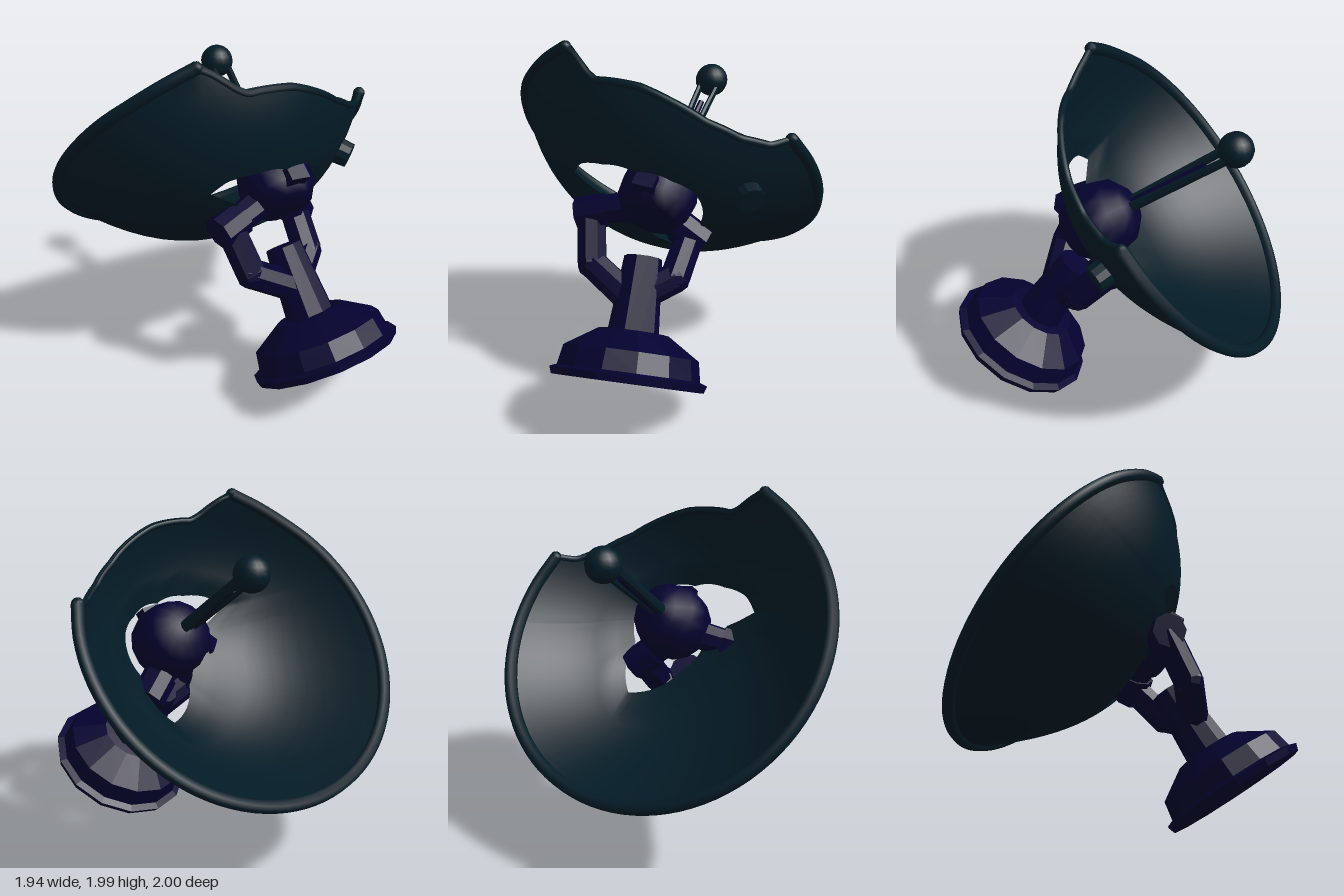
import * as THREE from 'three';

const V = (x, y, z) => new THREE.Vector3(x, y, z);
const UP = V(0, 1, 0);

// Dish frame: centre of the rim, facing direction and two in-plane axes
const C = V(0, 1.25, -0.35);
const N = V(0.12, 0.64, -0.76).normalize();
const U = V(1, 0, 0).addScaledVector(N, -N.x).normalize();
const W = new THREE.Vector3().crossVectors(U, N);
// Bowl depth, sagging slightly toward the upper side
const depth = (u, v) => {
  const k = Math.min(Math.hypot(u, v) / 0.96, 1);
  return 0.535 * (1 - Math.pow(k, 2.4)) + 0.06 * v * (1 - Math.pow(k, 6));
};
const onDish = (u, v, lift = 0) => C.clone().addScaledVector(U, u).addScaledVector(W, v)
  .addScaledVector(N, lift - depth(u, v));

// Outlines as [degrees, radius]: outer edge with its missing piece, and the torn hole
const OUTER = [[28, 0.95], [33, 0.885], [43, 0.845], [57, 0.83], [72, 0.845], [84, 0.86], [103, 0.86],
  [117, 0.985], [130, 0.95]];
const HOLE = [[26, 0.255], [59, 0.233], [108, 0.262], [138, 0.375], [155, 0.474], [168, 0.51], [173, 0.332],
  [195, 0.187], [253, 0.28], [291, 0.5], [329, 0.27]];
const HOLE_U = 0.18, HOLE_V = 0.25;
const radiusAt = (table, deg) => {
  const first = table[0], last = table[table.length - 1];
  const d = deg < first[0] ? deg + 360 : deg;
  const ring = [...table, [first[0] + 360, first[1]]];
  const k = d >= last[0] ? table.length - 1 : ring.findIndex((p) => p[0] > d) - 1;
  return THREE.MathUtils.mapLinear(d, ring[k][0], ring[k + 1][0], ring[k][1], ring[k + 1][1]);
};

// One wall of the bowl, from the torn hole out to the edge
function bowlWall(thickness) {
  const segs = 120, rings = 12, pos = [], idx = [];
  for (let j = 0; j <= rings; j++) {
    for (let i = 0; i <= segs; i++) {
      const deg = (i % segs) * 360 / segs, a = deg * Math.PI / 180, t = j / rings;
      const h = radiusAt(HOLE, deg), R = radiusAt(OUTER, deg);
      const hu = HOLE_U + h * Math.cos(a), hv = HOLE_V + h * Math.sin(a);
      const p = onDish(hu + (R * Math.cos(a) - hu) * t, hv + (R * Math.sin(a) - hv) * t,
        thickness * Math.min(1, t * 4));
      pos.push(p.x, p.y, p.z);
      if (j < rings && i < segs) {
        const k = j * (segs + 1) + i, m = k + segs + 1;
        idx.push(k, m, k + 1, k + 1, m, m + 1);
      }
    }
  }
  const geo = new THREE.BufferGeometry();
  geo.setAttribute('position', new THREE.Float32BufferAttribute(pos, 3));
  geo.setIndex(idx);
  geo.computeVertexNormals();
  return geo;
}

export function createModel() {
  const group = new THREE.Group();
  const dishPaint = new THREE.MeshStandardMaterial({ color: 0x031b26, side: THREE.DoubleSide });
  dishPaint.name = 'dark teal';
  const mountPaint = new THREE.MeshStandardMaterial({ color: 0x040230 });
  mountPaint.name = 'dark indigo';

  const add = (name, geo, mat) => {
    const mesh = new THREE.Mesh(geo, mat);
    mesh.name = name;
    group.add(mesh);
    return mesh;
  };
  const orient = (mesh, pos, dir) => {
    mesh.position.copy(pos);
    mesh.quaternion.setFromUnitVectors(UP, dir.clone().normalize());
    return mesh;
  };
  const flat = (geo) => {
    const g = geo.toNonIndexed();
    g.computeVertexNormals();
    return g;
  };
  const lathe = (pts, sides) => new THREE.LatheGeometry(pts.map((p) => new THREE.Vector2(...p)), sides);
  const rod = (name, a, b, ra, rb, mat, sides = 8) => {
    const d = b.clone().sub(a);
    return orient(add(name, flat(new THREE.CylinderGeometry(rb, ra, d.length(), sides)), mat),
      a.clone().add(b).multiplyScalar(0.5), d);
  };

  add('dishOuterWall', bowlWall(0), dishPaint);
  add('dishInnerWall', bowlWall(0.03), dishPaint);

  // Rolled rim, with a thinner edge along the broken piece
  const edge = (name, from, to, radius) => {
    const pts = [];
    for (let i = 0; i <= 24; i++) {
      const deg = (from + i * (to - from) / 24) % 360, a = deg * Math.PI / 180;
      const R = radiusAt(OUTER, deg) - 0.006;
      pts.push(onDish(R * Math.cos(a), R * Math.sin(a), 0.012));
    }
    const curve = new THREE.CatmullRomCurve3(pts);
    add(name, new THREE.TubeGeometry(curve, 72, radius, 8), dishPaint);
    [0, 1].forEach((t) => {
      add(name + 'End', new THREE.SphereGeometry(radius, 8, 6), dishPaint).position.copy(curve.getPoint(t));
    });
  };
  edge('dishRim', 116, 388, 0.036);
  edge('brokenEdge', 29, 116, 0.02);

  // Knob on the outside of the bowl
  const knobAt = onDish(0.66, 0.26);
  const knobDir = V(0.52, -0.3, 0.78).normalize();
  rod('dishKnob', knobAt.clone().addScaledVector(knobDir, -0.01),
    knobAt.clone().addScaledVector(knobDir, 0.07), 0.08, 0.075, dishPaint, 12);

  // Hub on the pointing axis, with a lug on its upper back
  const hubAt = V(0.115, 1.175, 0.11);
  const feedAt = V(0.2, 1.675, -0.59);
  const axis = feedAt.clone().sub(hubAt).normalize();
  orient(add('hub', lathe([[0, -0.2], [0.16, -0.19], [0.212, -0.11], [0.222, 0], [0.19, 0.12],
    [0.11, 0.19], [0, 0.215]], 14), mountPaint), hubAt, axis);
  orient(add('hubLug', new THREE.BoxGeometry(0.12, 0.09, 0.1), mountPaint),
    hubAt.clone().addScaledVector(W, 0.195).addScaledVector(axis, -0.09), axis);

  // Receiver on two flattened struts with a core between them
  const at = (d, s) => hubAt.clone().addScaledVector(axis, d).addScaledVector(U, s);
  [-1, 1].forEach((s) => {
    rod('feedStrut', at(0.17, s * 0.03), at(0.82, s * 0.052), 0.019, 0.016, dishPaint).scale.z = 1.8;
  });
  rod('feedCore', at(0.15, 0), at(0.68, 0), 0.03, 0.018, mountPaint);
  add('receiverBall', new THREE.SphereGeometry(0.097, 18, 12), dishPaint).position.copy(feedAt);

  // Tilted base and stem
  const baseAt = V(0.115, 0.23, 0.645);
  const baseDir = V(-0.06, 0.84, -0.54).normalize();
  orient(add('base', flat(lathe([[0, 0], [0.425, 0], [0.44, 0.04], [0.4, 0.055], [0.38, 0.165],
    [0.2, 0.28], [0, 0.285]], 14)), mountPaint), baseAt, baseDir);
  rod('stem', baseAt.clone().addScaledVector(baseDir, 0.26),
    baseAt.clone().addScaledVector(baseDir, 0.7), 0.145, 0.108, mountPaint, 10);

  // Bent yoke arms with joints and pivot pins
  const arm = (pts, pin) => {
    for (let i = 0; i < pts.length - 1; i++) rod('yokeArm', pts[i], pts[i + 1], 0.088, 0.086, mountPaint);
    pts.slice(1, -1).forEach((p) => {
      add('yokeElbow', flat(new THREE.SphereGeometry(0.088, 8, 6)), mountPaint).position.copy(p);
    });
    const end = pts[pts.length - 1];
    const dir = pin.clone().sub(end).normalize();
    rod('yokeJoint', end.clone().addScaledVector(dir, -0.08), end.clone().addScaledVector(dir, 0.09),
      0.1, 0.1, mountPaint);
    rod('pivotPin', end, pin, 0.08, 0.09, mountPaint);
  };
  arm([V(0.05, 0.62, 0.41), V(-0.21, 0.77, 0.34), V(-0.265, 1.03, 0.21)], V(0.02, 1.1, 0.16));
  arm([V(0.1, 0.64, 0.37), V(0.26, 0.72, 0.26), V(0.29, 0.92, 0.08)], V(0.14, 1.04, 0.12));

  return group;
}
